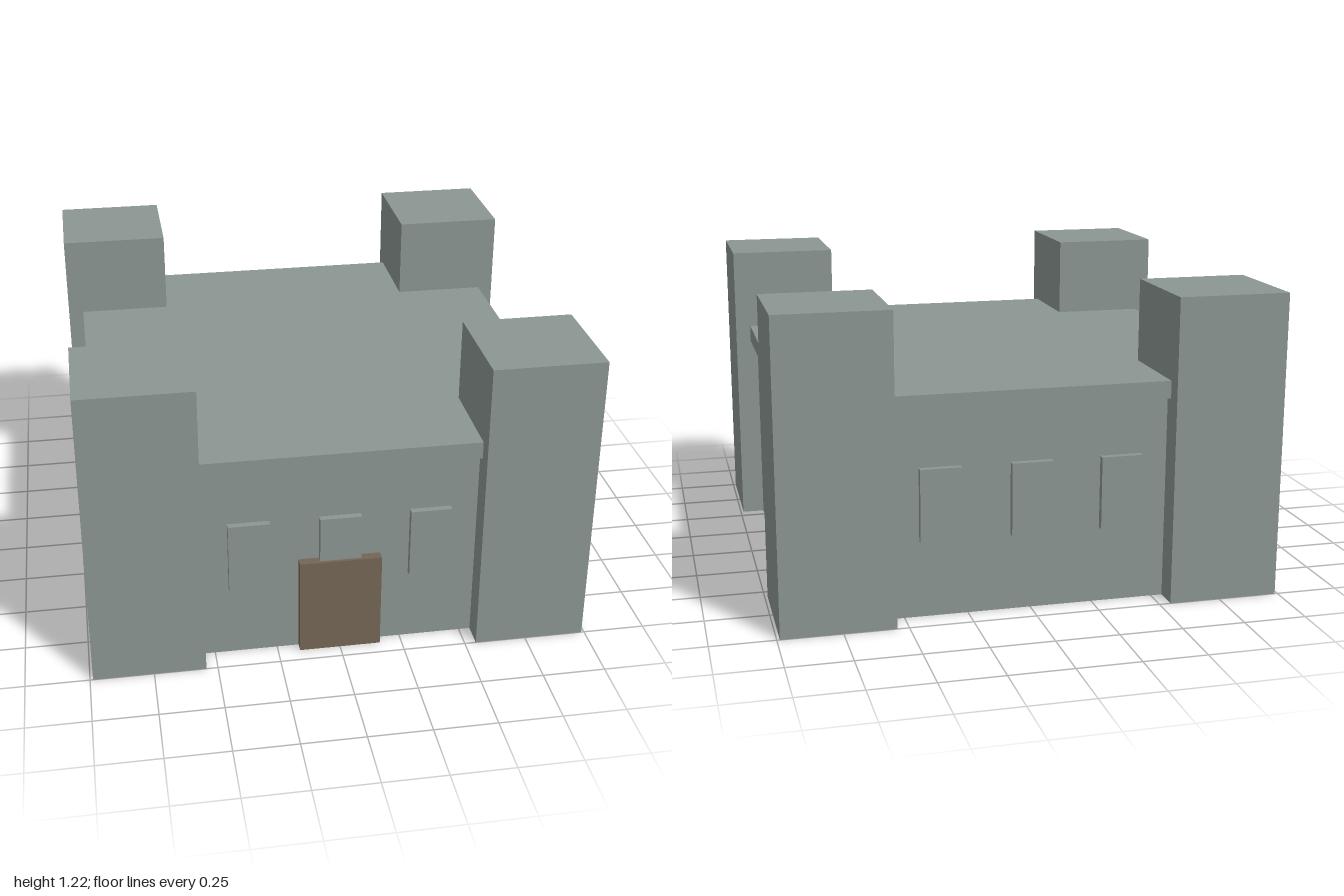
import * as THREE from 'three';

export function createModel() {
  const castle = new THREE.Group();
  castle.name = 'castle';
  const stone = new THREE.MeshStandardMaterial({ color: 0x8b9692 });
  stone.name = 'grey stone';
  const wood = new THREE.MeshStandardMaterial({ color: 0x756655 });
  wood.name = 'brown wood';

  // Adds a box centred on x and z, standing on y
  function addBox(name, material, [w, h, d], [x, y, z]) {
    const mesh = new THREE.Mesh(new THREE.BoxGeometry(w, h, d), material);
    mesh.name = name;
    mesh.position.set(x, y + h / 2, z);
    castle.add(mesh);
  }

  // Main hall and its overhanging flat roof
  addBox('hall', stone, [1.79, 0.815, 1.8], [0, 0, 0]);
  addBox('roof', stone, [1.85, 0.07, 1.87], [0, 0.815, 0]);

  // Corner towers
  for (const sx of [-1, 1]) {
    for (const sz of [-1, 1]) {
      addBox('tower', stone, [0.443, 1.22, 0.446], [sx * 0.767, 0, sz * 0.777]);
    }
  }

  // Three raised window panels on the front and back walls
  for (const sz of [-1, 1]) {
    for (const x of [-0.358, 0, 0.358]) {
      addBox('window', stone, [0.163, 0.29, 0.05], [x, 0.305, sz * 0.902]);
    }
  }

  // Front door
  addBox('door', wood, [0.325, 0.407, 0.06], [0, 0, 0.909]);

  return castle;
}
